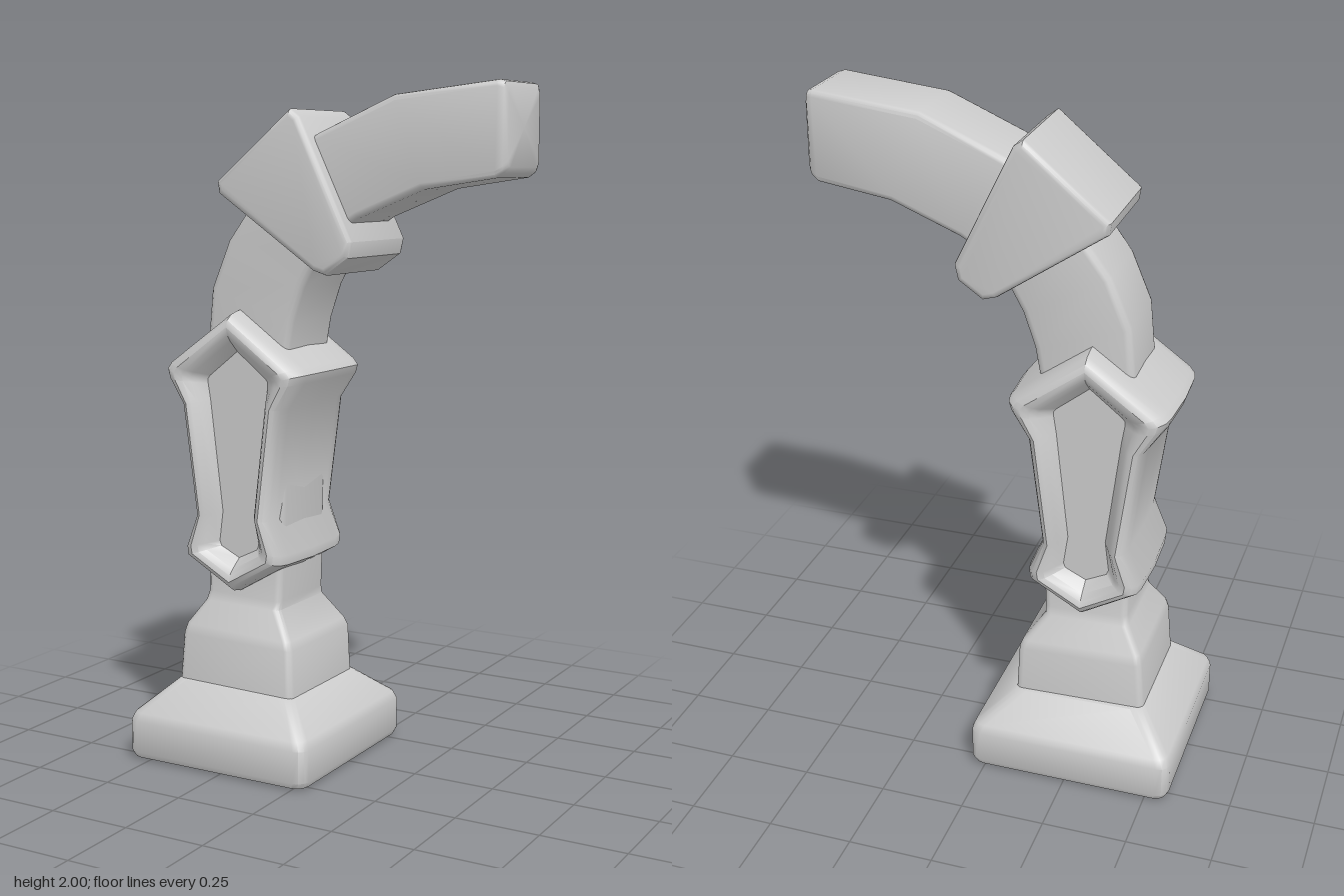
import * as THREE from 'three';
import { toCreasedNormals } from 'three/addons/utils/BufferGeometryUtils.js';

const material = new THREE.MeshStandardMaterial({ color: 0xcccccc });

// Skin a stack of equal-length point rings, closing both ends with a fan.
function skin(rings, crease = 0.7) {
  const n = rings[0].length, pos = [], index = [];
  rings.forEach(r => r.forEach(p => pos.push(...p)));
  for (let i = 0; i < rings.length - 1; i++) {
    for (let j = 0; j < n; j++) {
      const k = (j + 1) % n, a = i * n + j, c = i * n + k;
      index.push(a, a + n, c, a + n, c + n, c);
    }
  }
  const cap = (ring, start, flip) => {
    const centre = pos.length / 3;
    pos.push(...[0, 1, 2].map(d => ring.reduce((s, p) => s + p[d], 0) / n));
    for (let j = 0; j < n; j++) {
      const a = start + j, b = start + (j + 1) % n;
      index.push(centre, flip ? b : a, flip ? a : b);
    }
  };
  cap(rings[0], 0, false);
  cap(rings[rings.length - 1], (rings.length - 1) * n, true);
  const g = new THREE.BufferGeometry();
  g.setAttribute('position', new THREE.Float32BufferAttribute(pos, 3));
  g.setIndex(index);
  return toCreasedNormals(g, crease);
}

// Rounded rectangle spanning a left and a right profile point, with half depth hz.
function section([xl, yl, xr, yr, hz], radius) {
  const half = Math.hypot(xr - xl, yr - yl) / 2;
  const ring = [];
  for (let q = 0; q < 4; q++) {
    const su = q === 0 || q === 3 ? 1 : -1, sz = q < 2 ? 1 : -1;
    for (let s = 0; s <= 3; s++) {
      const t = (q + s / 3) * Math.PI / 2;
      const u = (su * (half - radius) + radius * Math.cos(t)) / half;
      const z = sz * (hz - radius) + radius * Math.sin(t);
      ring.push([(xl + xr) / 2 + u * (xr - xl) / 2, (yl + yr) / 2 + u * (yr - yl) / 2, z]);
    }
  }
  return ring;
}

const loft = (rows, radius) => skin(rows.map(r => section(r, radius)));

export function createModel() {
  const group = new THREE.Group();
  const add = (name, geometry) => {
    const mesh = new THREE.Mesh(geometry, material);
    mesh.name = name;
    group.add(mesh);
  };

  // Plinth with a sloping upper edge
  add('base', loft([
    [-0.545, 0, 0.02, 0, 0.28],
    [-0.562, 0.007, 0.037, 0.007, 0.297],
    [-0.57, 0.025, 0.045, 0.025, 0.305],
    [-0.57, 0.12, 0.045, 0.12, 0.305],
    [-0.56, 0.145, 0.035, 0.145, 0.295],
    [-0.46, 0.24, -0.065, 0.23, 0.2],
  ], 0.035));

  // Foot block narrowing into the neck
  add('foot', loft([
    [-0.463, 0.2, -0.063, 0.2, 0.187],
    [-0.448, 0.38, -0.07, 0.37, 0.183],
    [-0.44, 0.41, -0.08, 0.395, 0.176],
    [-0.395, 0.48, -0.137, 0.475, 0.138],
    [-0.388, 0.51, -0.135, 0.5, 0.13],
    [-0.388, 0.64, -0.13, 0.64, 0.13],
  ], 0.02));

  // Bent shaft between the sleeve and the collar
  add('shaft', loft([
    [-0.385, 0.6, -0.13, 0.6, 0.125],
    [-0.39, 1.22, -0.115, 1.22, 0.125],
    [-0.37, 1.42, -0.095, 1.33, 0.125],
    [-0.31, 1.56, -0.06, 1.43, 0.125],
    [-0.235, 1.66, -0.01, 1.52, 0.125],
    [-0.17, 1.74, 0.04, 1.58, 0.125],
  ], 0.022));

  // Arm leaving the collar, with a bevelled end
  add('arm', loft([
    [-0.12, 1.8, 0.02, 1.57, 0.125],
    [-0.01, 1.865, 0.12, 1.63, 0.125],
    [0.23, 1.967, 0.32, 1.71, 0.125],
    [0.54, 2, 0.535, 1.742, 0.125],
    [0.557, 1.995, 0.555, 1.755, 0.118],
    [0.565, 1.98, 0.565, 1.77, 0.105],
  ], 0.018));

  // Angular collar
  const bevel = 0.018, halfDepth = 0.17;
  const collarShape = new THREE.Shape([
    [-0.318, 1.73], [-0.312, 1.695], [0.0, 1.482], [0.04, 1.47],
    [0.112, 1.52], [0.122, 1.565], [-0.045, 1.91], [-0.075, 1.932],
  ].map(([x, y]) => new THREE.Vector2(x, y)));
  const collar = new THREE.ExtrudeGeometry(collarShape, {
    depth: 2 * (halfDepth - bevel), bevelEnabled: true, bevelThickness: bevel,
    bevelSize: bevel, bevelOffset: -bevel, bevelSegments: 3,
  });
  collar.translate(0, 0, bevel - halfDepth);
  add('collar', toCreasedNormals(collar, 0.7));

  // Sleeve: one outline swept through its depth, rolling over a rim into recessed panels.
  // Right half of the outline, top to bottom: outer x offset, y, then recess x offset, y.
  const cx = -0.265;
  const half = [
    [0, 1.365, 0, 1.24],
    [0.225, 1.205, 0.095, 1.165],
    [0.24, 1.185, 0.103, 1.155],
    [0.232, 1.16, 0.103, 1.14],
    [0.175, 1.08, 0.095, 1.09],
    [0.13, 0.75, 0.056, 0.76],
    [0.175, 0.65, 0.068, 0.67],
    [0.172, 0.62, 0.062, 0.655],
    [0, 0.52, 0, 0.625],
  ];
  const outline = [...half, ...half.slice(1, -1).reverse().map(([a, b, c, d]) => [-a, b, -c, d])];
  const rim = [[0, 0], [0.05, 0.14], [0.11, 0.175], [0.24, 0.197], [0.4, 0.205],
    [0.58, 0.199], [0.74, 0.182], [1, 0.145]];
  const sweep = [...rim.slice(1).reverse().map(([t, z]) => [t, -z]), ...rim];
  add('sleeve', skin(sweep.map(([t, z]) => outline.map(([ox, oy, ix, iy]) => [
    cx + ox + (ix - ox) * t, oy + (iy - oy) * t, z,
  ])), 0.65));

  return group;
}
